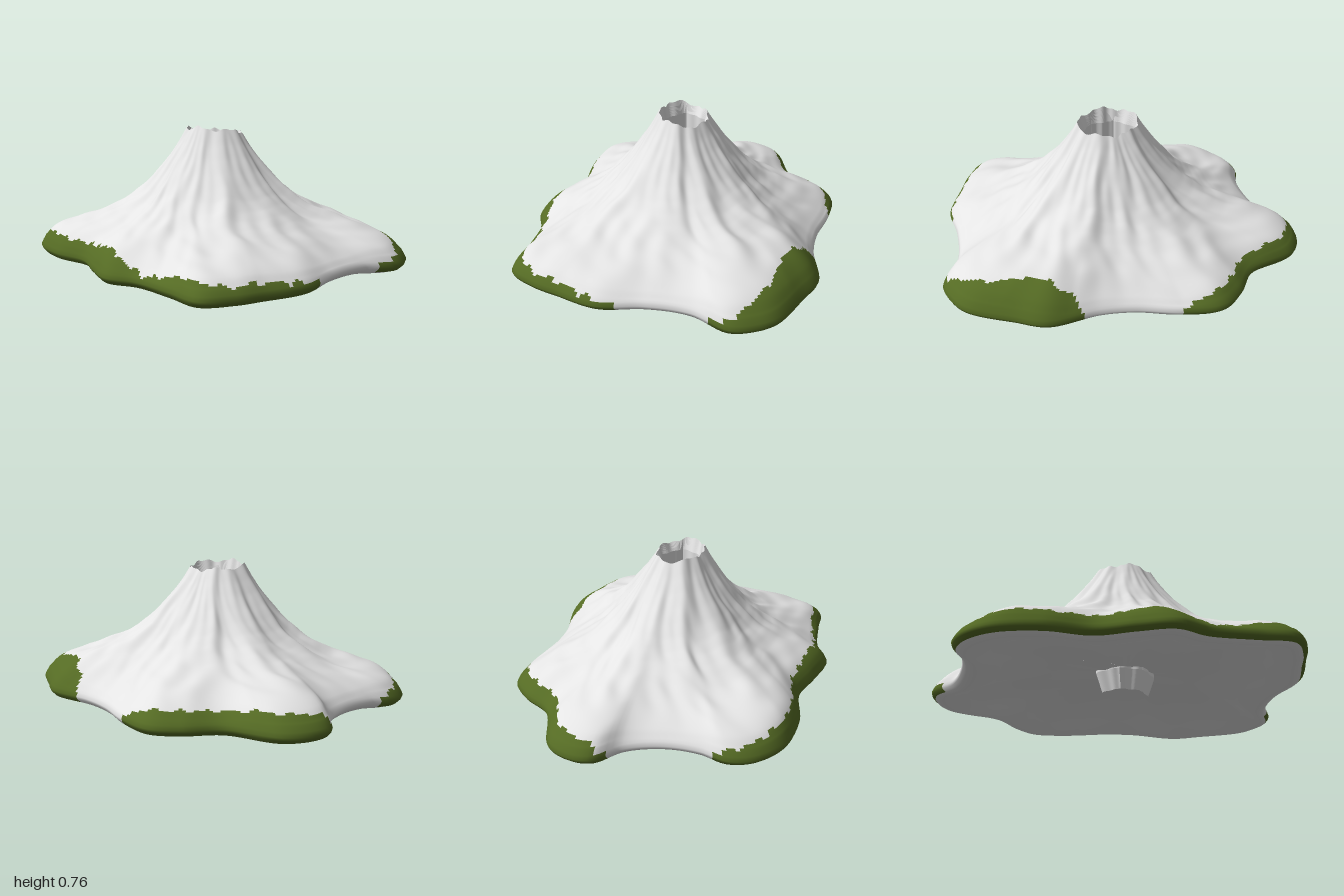
import * as THREE from 'three';

const SEG = 300;
const CX = 0.01, CZ = 0.01;
const { lerp, clamp } = THREE.MathUtils;

// Ground outline (x, z)
const outline = [
  [-0.34, -0.86], [-0.13, -0.83], [0.09, -0.75], [0.27, -0.72], [0.55, -0.73], [0.7, -0.65], [0.91, -0.52],
  [0.97, -0.43], [1, -0.29], [0.9, -0.11], [0.87, 0.13], [0.88, 0.37], [0.79, 0.59], [0.73, 0.72],
  [0.62, 0.85], [0.43, 0.83], [0.19, 0.81], [0.02, 0.85], [-0.155, 0.775], [-0.34, 0.68], [-0.58, 0.67],
  [-0.8, 0.59], [-0.92, 0.455], [-0.945, 0.32], [-0.89, 0.19], [-0.87, 0], [-0.9, -0.19], [-0.99, -0.32],
  [-0.98, -0.43], [-0.89, -0.55], [-0.61, -0.63], [-0.475, -0.775],
];

// Slope profile: fraction from rim to foot, height
const slope = [[0, 0.73], [0.055, 0.66], [0.12, 0.588], [0.19, 0.518], [0.26, 0.453], [0.33, 0.394], [0.4, 0.345],
  [0.47, 0.304], [0.54, 0.268], [0.61, 0.236], [0.75, 0.178], [0.87, 0.126], [0.93, 0.1], [0.97, 0.077]];

// Rounded foot and hollow underside: inset from the outline, height
const foot = [[0.01, 0.07], [0, 0.05], [0.006, 0.034], [0.025, 0.016], [0.065, 0.005], [0.13, 0.015], [0.2, 0.045],
  [0.32, 0.08], [0.5, 0.105], [2, 0.115]];

// Width of the grass band by bearing in degrees (negative = bare)
const grassWidth = [[-66, -0.02], [-60, 0.09], [-50, 0.165], [-40, 0.155], [-28, 0.11], [-20, 0.045], [-14, 0.015],
  [-11, -0.03], [14, -0.03], [19, 0.01], [30, 0.03], [45, 0.035], [55, 0.07], [66, 0.05], [75, 0.02], [84, 0.06],
  [92, 0.1], [104, 0.07], [115, 0.05], [135, 0.06], [152, 0.055], [163, 0.025], [168, -0.03], [194, -0.03],
  [198, 0.04], [205, 0.075], [213, 0.08], [225, 0.065], [240, 0.07], [250, 0.065], [258, 0.025], [263, -0.03],
  [290, -0.06], [294, -0.02]];

function sample(table, x) {
  let i = 1;
  while (i < table.length - 1 && table[i][0] < x) i++;
  const [x0, y0] = table[i - 1], [x1, y1] = table[i];
  return lerp(y0, y1, clamp((x - x0) / (x1 - x0), 0, 1));
}

// Turn the outline into a table of angle and radius
function polarOutline() {
  const curve = new THREE.CatmullRomCurve3(outline.map(([x, z]) => new THREE.Vector3(x, 0, z)), true);
  const table = curve.getPoints(900).map((p) => [Math.atan2(p.z - CZ, p.x - CX), Math.hypot(p.x - CX, p.z - CZ)]);
  table.sort((a, b) => a[0] - b[0]);
  return (a) => sample(table, Math.atan2(Math.sin(a), Math.cos(a)));
}

// Broad swelling centred on one bearing
const bump = (a, deg, width) => Math.exp(-((1 - Math.cos(a - (deg * Math.PI) / 180)) * 2) / (width * width));

// Ragged crater rim
const rimRadius = (a) => 1 / Math.hypot(Math.cos(a) / 0.165, Math.sin(a) / 0.13) + 0.004 * Math.sin(11 * a);
const rimLift = (a) => 0.018 * Math.sin(a) + 0.009 * Math.sin(5 * a) + 0.004 * Math.sin(13 * a + Math.sin(3 * a));

// Gullies running downhill, broken up by small lumps
function ridges(a, t) {
  const w = a + 0.05 * Math.sin(3 * a + 5 * t) + 0.02 * Math.sin(17 * t + 4 * a);
  return 0.45 * Math.sin(9 * w + 2 * Math.sin(2 * a)) + 0.3 * Math.sin(17 * w + 1 + 2 * t)
    + 0.25 * Math.sin(31 * w + 4 * t) * Math.sin(3 * a + 6 * t)
    + 0.25 * Math.sin(13 * a + 9 * t) * Math.sin(26 * t + 4 * Math.sin(2 * a));
}

// Surface of closed rings, split into one group per material
function ringSurface(rows, point, pick = () => 0) {
  const pos = [], lists = [[], []];
  for (let i = 0; i < rows; i++) {
    for (let j = 0; j < SEG; j++) pos.push(...point(i, (j / SEG) * Math.PI * 2));
  }
  for (let i = 0; i < rows - 1; i++) {
    for (let j = 0; j < SEG; j++) {
      const k = (j + 1) % SEG;
      const a = i * SEG + j, b = i * SEG + k, c = a + SEG, d = b + SEG;
      lists[pick(i, ((j + 0.5) / SEG) * Math.PI * 2)].push(a, b, c, b, d, c);
    }
  }
  const g = new THREE.BufferGeometry();
  g.setAttribute('position', new THREE.Float32BufferAttribute(pos, 3));
  g.setIndex([...lists[0], ...lists[1]]);
  g.addGroup(0, lists[0].length, 0);
  g.addGroup(lists[0].length, lists[1].length, 1);
  g.computeVertexNormals();
  return g;
}

export function createModel() {
  const rock = new THREE.MeshStandardMaterial({ color: 0xe4e4e4, side: THREE.DoubleSide });
  rock.name = 'pale rock';
  const grass = new THREE.MeshStandardMaterial({ color: 0x556b24, side: THREE.DoubleSide });
  grass.name = 'olive grass';

  const edge = polarOutline();
  const TOP = 80;
  const tOf = (i) => (0.97 * i) / (TOP - 1);
  const at = (a, r, y) => [CX + r * Math.cos(a), Math.max(0, y), CZ + r * Math.sin(a)];
  const baseLift = (a) => 0.012 + 0.012 * Math.cos(a - 0.9) + 0.012 * bump(a, 3, 0.3) + 0.018 * bump(a, 180, 0.3);

  // Slopes, foot and underside
  const shell = (i, a) => {
    const R = edge(a);
    if (i < TOP) {
      const t = tOf(i), rim = rimRadius(a);
      const reach = Math.min(0.97, lerp((t * (R - rim)) / 0.74, t, t));
      const swell = 0.045 * bump(a, -45, 0.45) + 0.02 * bump(a, 128, 0.4) + 0.02 * bump(a, 205, 0.4);
      const bulge = 0.035 * clamp((R - 0.86) / 0.12, 0, 1) + 0.025 * bump(a, 128, 0.4) + 0.03 * bump(a, 95, 0.2);
      const y = sample(slope, reach) + rimLift(a) * (1 - t) ** 8
        + 0.02 * Math.sin(Math.PI * t ** 0.75) * ridges(a, t)
        + Math.sin(Math.PI * t ** 1.8) * swell + Math.sin(Math.PI * t ** 5) * bulge + baseLift(a) * t;
      return at(a, lerp(rim, R, t), y);
    }
    const [inset, y] = foot[i - TOP];
    return at(a, Math.max(0, R - inset), y + baseLift(a));
  };

  // Grass grows in ragged patches around the foot
  const cover = (i, a) => {
    if (i >= TOP + 3) return 0;
    let deg = (a * 180) / Math.PI;
    if (deg > 294) deg -= 360;
    const width = sample(grassWidth, deg) + 0.006 * Math.sin(47 * a) + 0.005 * Math.sin(83 * a + 1);
    const inset = i < TOP ? (edge(a) - rimRadius(a)) * (1 - tOf(i + 0.5)) : 0;
    return inset < width ? 1 : 0;
  };

  // Deep crater shaft narrowing to a six-sided floor: share of the rim radius, height
  const well = [[0, 0.012], [0.78, 0.012], [1, 0.12], [0.99, 0.4], [0.96, 0.67]];
  const crater = (i, a) => {
    if (i === well.length) return shell(0, a);
    const sector = Math.PI / 3;
    const hex = Math.cos(sector / 2) / Math.cos((a % sector) - sector / 2);
    const [share, y] = well[i];
    return at(a, share * hex * rimRadius(a), y);
  };

  const group = new THREE.Group();
  group.name = 'volcano';
  const mountain = new THREE.Mesh(ringSurface(TOP + foot.length, shell, cover), [rock, grass]);
  mountain.name = 'mountainSlopes';
  const pit = new THREE.Mesh(ringSurface(well.length + 1, crater).toNonIndexed(), rock);
  pit.geometry.computeVertexNormals();
  pit.name = 'crater';
  group.add(mountain, pit);
  return group;
}
